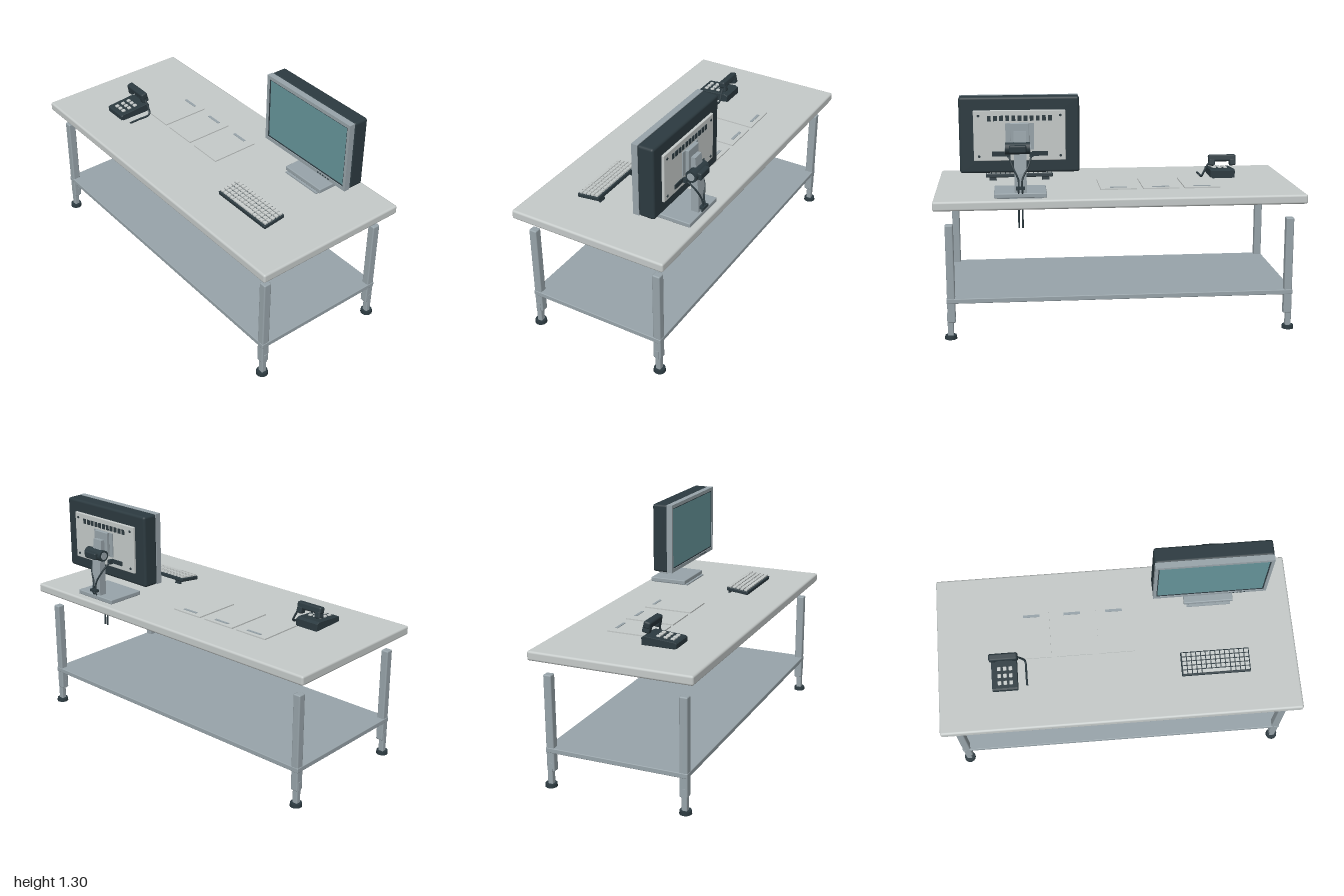
import * as THREE from 'three';
import { RoundedBoxGeometry } from 'three/addons/geometries/RoundedBoxGeometry.js';

const mat = (name, color, side = THREE.FrontSide) => {
  const m = new THREE.MeshStandardMaterial({ color, side });
  m.name = name;
  return m;
};

export function createModel() {
  const light = mat('light laminate', 0xc5cac9);
  const steel = mat('grey steel', 0x98a4aa);
  const dark = mat('dark plastic', 0x2c3a40);
  const glass = mat('teal screen', 0x66959b);
  const model = new THREE.Group();

  const group = (name, parent = model) => {
    const g = new THREE.Group();
    g.name = name;
    parent.add(g);
    return g;
  };
  const add = (parent, name, geo, material, x = 0, y = 0, z = 0) => {
    const m = new THREE.Mesh(geo, material);
    m.name = name;
    m.position.set(x, y, z);
    parent.add(m);
    return m;
  };
  // box given by its minimum and maximum on each axis, with optional rounding
  const block = (parent, name, material, [x0, x1], [y0, y1], [z0, z1], r = 0) => {
    const s = [x1 - x0, y1 - y0, z1 - z0];
    const geo = r ? new RoundedBoxGeometry(...s, 2, r) : new THREE.BoxGeometry(...s);
    return add(parent, name, geo, material, (x0 + x1) / 2, (y0 + y1) / 2, (z0 + z1) / 2);
  };
  const cable = (parent, name, points, r) => {
    const curve = new THREE.CatmullRomCurve3(points.map(p => new THREE.Vector3(...p)), false, 'centripetal');
    return add(parent, name, new THREE.TubeGeometry(curve, 32, r, 8), dark);
  };

  // desk
  const desk = group('desk');
  block(desk, 'tabletop', light, [-1, 1], [0.717, 0.769], [-0.457, 0.457], 0.012);
  block(desk, 'lowerShelf', steel, [-0.945, 0.945], [0.198, 0.225], [-0.403, 0.403], 0.004);
  for (const sx of [-1, 1]) for (const sz of [-1, 1]) {
    const leg = group('leg', desk);
    add(leg, 'upperLeg', new RoundedBoxGeometry(0.043, 0.54, 0.045, 2, 0.007), steel, sx * 0.921, 0.36, sz * 0.379);
    add(leg, 'innerLeg', new RoundedBoxGeometry(0.032, 0.13, 0.03, 2, 0.006), steel, sx * 0.927, 0.08, sz * 0.384);
    add(leg, 'adjusterSleeve', new THREE.BoxGeometry(0.046, 0.05, 0.02), steel, sx * 0.922, 0.115, sz * 0.379);
    add(leg, 'foot', new THREE.CylinderGeometry(0.031, 0.033, 0.02, 16), dark, sx * 0.927, 0.01, sz * 0.386);
  }

  // three flat folders
  [-0.466, -0.236, 0].forEach(x => {
    const folder = group('folder');
    block(folder, 'cover', light, [x - 0.1, x + 0.1], [0.768, 0.776], [-0.226, 0.056]);
    block(folder, 'tab', steel, [x - 0.047, x + 0.047], [0.776, 0.779], [-0.203, -0.188]);
  });

  // telephone
  const phone = group('telephone');
  block(phone, 'phoneFoot', dark, [-0.685, -0.565], [0.769, 0.782], [0.05, 0.222]);
  const wedge = new THREE.Shape([[0.235, 0.779], [0.235, 0.801], [0.228, 0.807], [0.06, 0.82], [0.042, 0.812], [0.042, 0.775]]
    .map(([z, y]) => new THREE.Vector2(-z, y)));
  const body = add(phone, 'phoneBody', new THREE.ExtrudeGeometry(wedge, { depth: 0.136, bevelEnabled: true, bevelSize: 0.002, bevelThickness: 0.003, bevelSegments: 1 }), dark, -0.558);
  body.rotation.y = Math.PI / 2;
  body.position.x = -0.697;
  for (let i = 0; i < 3; i++) for (let j = 0; j < 3; j++) {
    const key = add(phone, 'phoneKey', new RoundedBoxGeometry(0.02, 0.014, 0.022, 1, 0.003), light, -0.658 + i * 0.032, 0.818 - j * 0.003, 0.12 + j * 0.04);
    key.rotation.x = 0.08;
  }
  // handset hovering over the cradle, tilted back slightly
  const handset = group('handset', phone);
  handset.position.set(-0.628, 0.872, 0.072);
  handset.rotation.x = 0.2;
  block(handset, 'grip', dark, [-0.08, 0.08], [-0.008, 0.032], [-0.02, 0.02], 0.011);
  for (const s of [-1, 1]) {
    const end = add(handset, 'earpiece', new RoundedBoxGeometry(0.036, 0.04, 0.042, 2, 0.008), dark, s * 0.06, -0.012, 0);
    end.rotation.z = s * 0.12;
  }
  cable(phone, 'phoneCord', [[-0.56, 0.862, 0.07], [-0.545, 0.845, 0.07], [-0.515, 0.787, 0.07], [-0.511, 0.776, 0.085], [-0.511, 0.775, 0.15], [-0.509, 0.775, 0.215]], 0.006);

  // keyboard, raised at the back
  const keyboard = group('keyboard');
  keyboard.position.set(0.539, 0.792, 0.163);
  keyboard.rotation.x = 0.12;
  block(keyboard, 'keyboardBase', dark, [-0.191, 0.191], [-0.012, 0.01], [-0.067, 0.067], 0.005);
  const keyGeo = new THREE.BoxGeometry(0.021, 0.012, 0.018);
  for (let r = 0; r < 5; r++) for (let c = 0; c < 14; c++) {
    if (r === 4 && c > 3 && c < 10) continue;
    add(keyboard, 'key', keyGeo, light, (c - 6.5) * 0.0267, 0.013, -0.05 + r * 0.0245);
  }
  block(keyboard, 'spaceBar', light, [-0.077, 0.077], [0.007, 0.019], [0.039, 0.057]);
  for (const s of [-1, 1]) block(keyboard, 'keyboardFoot', dark, [s * 0.15 - 0.02, s * 0.15 + 0.02], [-0.03, -0.01], [-0.062, -0.05]);

  // monitor front: bezel frame, rim and screen
  const monitor = group('monitor');
  const rect = (T, w, h) => new T([[-w, -h], [w, -h], [w, h], [-w, h]].map(p => new THREE.Vector2(...p)));
  const frame = (w, h, iw, ih, depth) => {
    const s = rect(THREE.Shape, w, h);
    s.holes.push(rect(THREE.Path, iw, ih));
    return new THREE.ExtrudeGeometry(s, { depth, bevelEnabled: false });
  };
  const cx = 0.5375, cy = 1.094;
  add(monitor, 'bezel', frame(0.316, 0.202, 0.299, 0.182, 0.034), steel, cx, cy, -0.234);
  add(monitor, 'screenRim', frame(0.299, 0.182, 0.293, 0.176, 0.028), dark, cx, cy, -0.232);
  add(monitor, 'screen', new THREE.BoxGeometry(0.588, 0.354, 0.006), glass, cx, cy, -0.21);
  for (let i = 0; i < 5; i++) add(monitor, 'bezelButton', new THREE.BoxGeometry(0.009, 0.006, 0.004), dark, 0.65 + i * 0.02, 0.902, -0.199);
  block(monitor, 'rearShell', dark, [0.22, 0.855], [0.892, 1.297], [-0.323, -0.231], 0.014);

  // monitor back: panel, vents, ports and screws
  block(monitor, 'rearPanel', light, [0.295, 0.78], [0.96, 1.228], [-0.337, -0.32], 0.004);
  for (let i = 0; i < 11; i++) block(monitor, 'vent', dark, [0.367 + i * 0.032, 0.387 + i * 0.032], [1.172, 1.2], [-0.341, -0.334]);
  for (const sx of [-1, 1]) {
    block(monitor, 'portStrip', dark, [cx + sx * 0.105 - 0.042, cx + sx * 0.105 + 0.042], [0.985, 1.01], [-0.342, -0.334]);
    for (const y of [0.985, 1.2]) {
      const screw = add(monitor, 'screw', new THREE.CylinderGeometry(0.007, 0.007, 0.006, 10), dark, cx + sx * 0.215, y, -0.338);
      screw.rotation.x = Math.PI / 2;
    }
  }

  // stand: mount plate, bracket, hinge, neck and base
  const stand = group('stand');
  block(stand, 'mountPlate', steel, [cx - 0.075, cx + 0.075], [1.02, 1.16], [-0.343, -0.335]);
  block(stand, 'bracket', steel, [cx - 0.05, cx + 0.05], [1.025, 1.163], [-0.362, -0.342], 0.004);
  const side = new THREE.Shape([[0.365, 0.798], [0.365, 1.12], [0.388, 1.12], [0.41, 0.9], [0.41, 0.798]]
    .map(p => new THREE.Vector2(...p)));
  const neck = add(stand, 'neck', new THREE.ExtrudeGeometry(side, { depth: 0.064, bevelEnabled: false }), steel, cx - 0.032);
  neck.rotation.y = Math.PI / 2;
  const tube = (name, r, len, material) => {
    const m = add(stand, name, new THREE.CylinderGeometry(r, r, len, 20), material, 0.55, 1.035, -0.39);
    m.rotation.z = Math.PI / 2;
  };
  tube('hinge', 0.032, 0.13, dark);
  tube('hingeCap', 0.021, 0.136, steel);
  block(stand, 'hingeKnob', dark, [0.505, 0.595], [1.015, 1.055], [-0.438, -0.4], 0.008);
  block(stand, 'base', steel, [0.4, 0.678], [0.774, 0.8], [-0.422, -0.198], 0.005);
  block(stand, 'baseFoot', steel, [0.415, 0.663], [0.768, 0.776], [-0.41, -0.185]);

  // monitor cables, passing through the tabletop
  const cables = group('cables');
  for (const s of [-1, 1]) {
    const x = 0.539 + s * 0.01;
    cable(cables, 'monitorCable', [[cx + s * 0.06, 0.995, -0.342], [cx + s * 0.058, 0.985, -0.362], [cx + s * 0.042, 0.94, -0.4],
      [x, 0.87, -0.418], [x, 0.82, -0.424], [x, 0.8, -0.418], [x, 0.775, -0.39], [x, 0.745, -0.348], [x, 0.7, -0.341], [x, 0.595, -0.341]], 0.005);
    block(cables, 'plug', dark, [cx + s * 0.06 - 0.01, cx + s * 0.06 + 0.01], [0.982, 1.006], [-0.362, -0.338]);
  }
  block(cables, 'cableClip', dark, [0.515, 0.563], [0.82, 0.834], [-0.436, -0.408]);
  return model;
}
